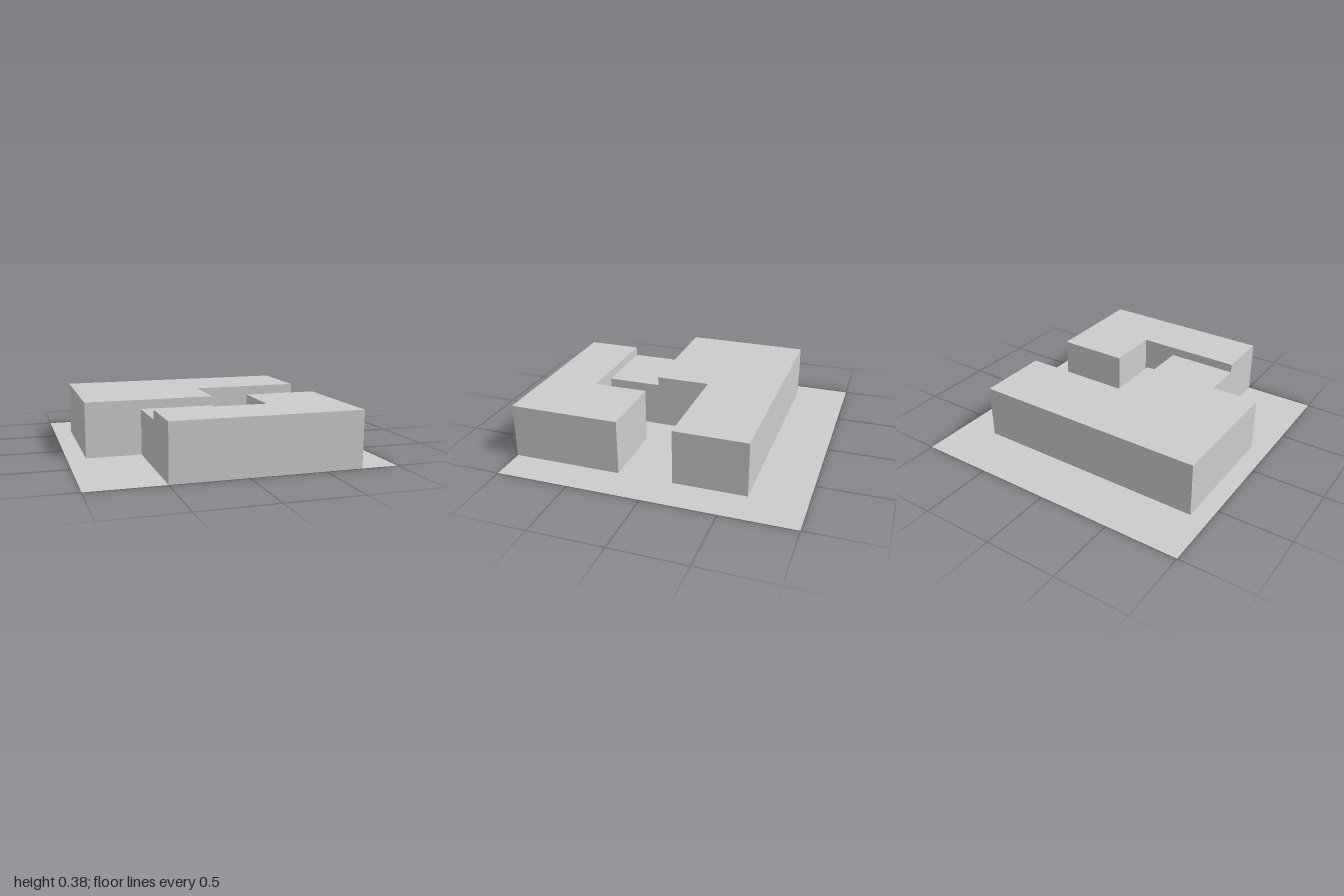
import * as THREE from 'three';

const material = new THREE.MeshStandardMaterial({ color: 0xcccccc, flatShading: true });
const sheetMaterial = new THREE.MeshStandardMaterial({ color: 0xcccccc, side: THREE.DoubleSide });

// Raises a floor plan, given as [x, z] corners, from the ground to a height
function building(name, plan, height) {
  const shape = new THREE.Shape(plan.map(([x, z]) => new THREE.Vector2(x, -z)));
  const geometry = new THREE.ExtrudeGeometry(shape, { depth: height, bevelEnabled: false });
  geometry.rotateX(-Math.PI / 2);
  const mesh = new THREE.Mesh(geometry, material);
  mesh.name = name;
  return mesh;
}

export function createModel() {
  const model = new THREE.Group();
  model.name = 'buildingBlock';

  // Flat square plot
  const plot = new THREE.Mesh(new THREE.PlaneGeometry(2, 2).rotateX(-Math.PI / 2), sheetMaterial);
  plot.name = 'plot';
  model.add(plot);

  // L-shaped rear building
  model.add(building('rearBuilding', [
    [-0.875, -0.625], [0.75, -0.625], [0.75, -0.125],
    [0, -0.125], [0, 0.25], [-0.875, 0.25],
  ], 0.375));

  // L-shaped front building
  model.add(building('frontBuilding', [
    [-0.5, 0.625], [0.25, 0.625], [0.25, 0.25],
    [0.75, 0.25], [0.75, 1], [-0.5, 1],
  ], 0.375));

  // Slightly lower link between the two
  model.add(building('connectingWing', [
    [-0.5, 0.25], [0, 0.25], [0, 0.625], [-0.5, 0.625],
  ], 0.3125));

  return model;
}
